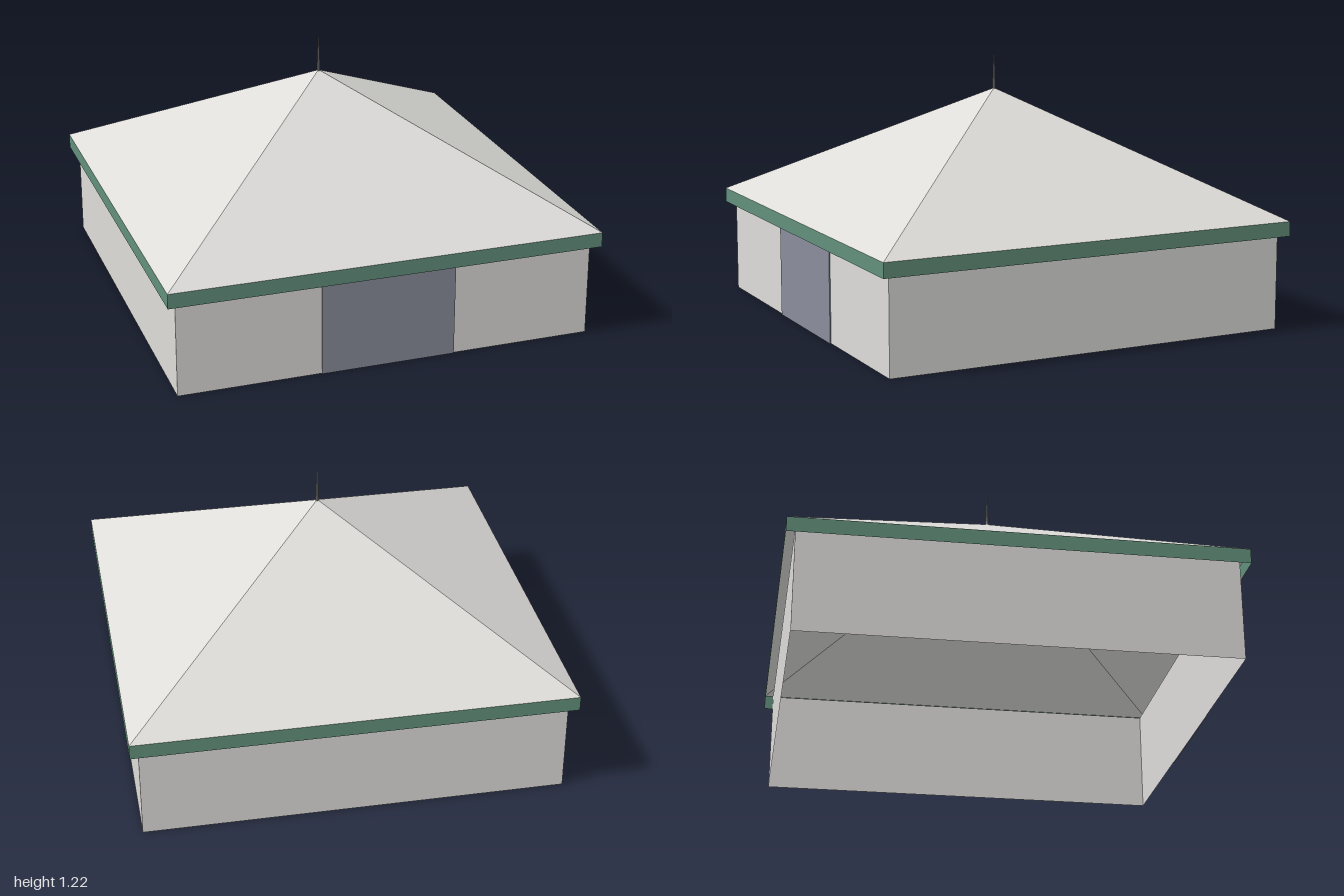
import * as THREE from 'three';

const flat = (name, color, side = THREE.FrontSide) => {
  const m = new THREE.MeshStandardMaterial({ color, side, flatShading: true });
  m.name = name;
  return m;
};

// Open four-sided shell, centred on the y axis, given half widths at bottom and top
function squareShell(halfBottom, halfTop, y0, y1) {
  const g = new THREE.CylinderGeometry(halfTop * Math.SQRT2, halfBottom * Math.SQRT2, y1 - y0, 4, 1, true);
  g.rotateY(Math.PI / 4);
  g.translate(0, (y0 + y1) / 2, 0);
  return g;
}

export function createModel() {
  const concrete = flat('pale concrete', 0xdddcd9, THREE.DoubleSide);
  const green = flat('green trim', 0x62907c, THREE.DoubleSide);
  const slate = flat('slate door', 0x8a8e9b);
  const metal = flat('grey metal', 0x9a9a98);

  const model = new THREE.Group();
  model.name = 'pavilion';
  const add = (name, geometry, material) => {
    const mesh = new THREE.Mesh(geometry, material);
    mesh.name = name;
    model.add(mesh);
  };

  // Hollow walls, open to the ground and to the roof space
  add('walls', squareShell(0.96, 0.96, 0, 0.485), concrete);

  // Green band hanging around the eaves
  add('fascia', squareShell(1, 1, 0.435, 0.503), green);

  // Pyramid roof, open underneath
  add('roof', squareShell(1, 0, 0.503, 1.06), concrete);

  // Wide front door, a thin plate on the wall
  const door = new THREE.BoxGeometry(0.62, 0.427, 0.005);
  door.translate(0, 0.2135, 0.9635);
  add('door', door, slate);

  // Slim tapered spire on the peak
  const spire = new THREE.CylinderGeometry(0.002, 0.008, 0.165, 8);
  spire.translate(0, 1.1325, 0);
  add('spire', spire, metal);

  return model;
}
